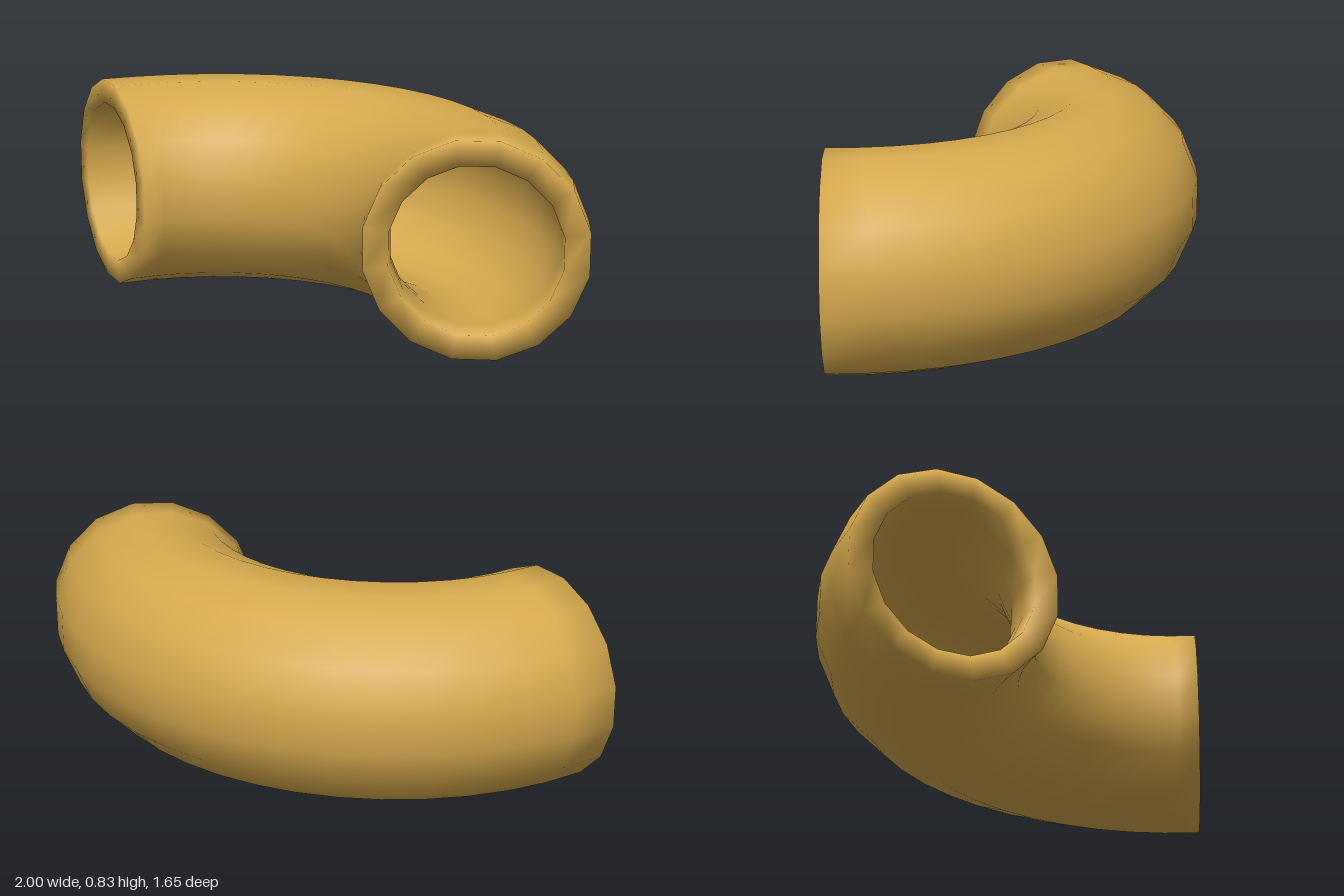
import * as THREE from 'three';

const SIDES = 16, STEPS = 16;
const OUTER = 0.425, BORE = 0.328, BEND = 1.0;
const CENTRE = new THREE.Vector3(-0.42, 0.422, 0.59);

// Point on the bent tube: u runs along the bend, t around the tube.
// The start and end angles vary with the distance from the bend centre, so both cuts are flat.
function tubePoint(u, t, radius) {
  const r = BEND + radius * Math.cos(t);
  const start = -(6.83 + 3.5 / r), end = 111.9 + 3.2 / r;
  const phi = THREE.MathUtils.degToRad(start + (end - start) * u);
  return [
    CENTRE.x + r * Math.cos(phi),
    CENTRE.y + radius * Math.sin(t),
    CENTRE.z - r * Math.sin(phi),
  ];
}

// Closed hollow tube: out along the outer wall, back along the bore, with shared rim vertices
function hollowBend() {
  const rings = [];
  for (let i = 0; i <= STEPS; i++) rings.push([i / STEPS, OUTER]);
  for (let i = STEPS; i >= 0; i--) rings.push([i / STEPS, BORE]);

  const positions = [], index = [];
  rings.forEach(([u, radius], i) => {
    const next = (i + 1) % rings.length;
    for (let j = 0; j < SIDES; j++) {
      positions.push(...tubePoint(u, ((j + 0.5) / SIDES) * Math.PI * 2, radius));
      const k = (j + 1) % SIDES;
      const a = i * SIDES + j, b = next * SIDES + j;
      const c = next * SIDES + k, d = i * SIDES + k;
      index.push(a, b, c, a, c, d);
    }
  });

  const geometry = new THREE.BufferGeometry();
  geometry.setAttribute('position', new THREE.Float32BufferAttribute(positions, 3));
  geometry.setIndex(index);
  geometry.computeVertexNormals();
  return geometry;
}

export function createModel() {
  const group = new THREE.Group();
  group.name = 'pastaElbow';
  const golden = new THREE.MeshStandardMaterial({ color: 0xd4a84c });
  golden.name = 'golden pasta';

  const tube = new THREE.Mesh(hollowBend(), golden);
  tube.name = 'curvedTube';
  group.add(tube);
  return group;
}
